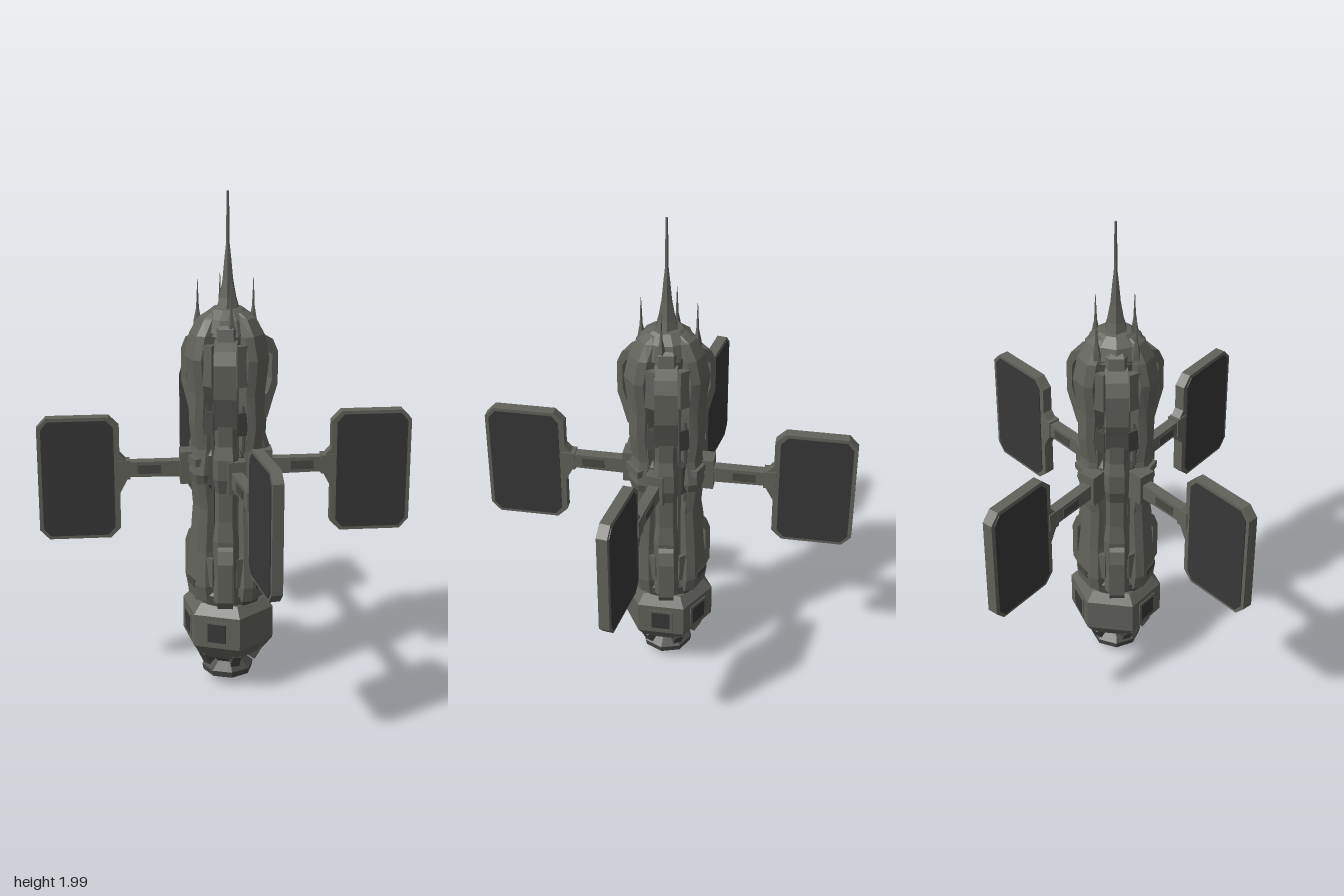
import * as THREE from 'three';

const rad = THREE.MathUtils.degToRad;
const CZ = 0.01; // hull axis offset

export function createModel() {
  const hull = new THREE.MeshStandardMaterial({ color: 0x62625c });
  hull.name = 'hullGrey';
  const dark = new THREE.MeshStandardMaterial({ color: 0x484845 });
  dark.name = 'recessGrey';
  const panelMat = new THREE.MeshStandardMaterial({ color: 0x383838 });
  panelMat.name = 'panelDark';

  const model = new THREE.Group();
  model.name = 'spaceStation';

  // Faceted normals for every part
  function add(parent, geo, mat, name) {
    const g = geo.index ? geo.toNonIndexed() : geo;
    g.computeVertexNormals();
    const m = new THREE.Mesh(g, mat);
    m.name = name;
    parent.add(m);
    return m;
  }
  // Group whose local +x points outward at an azimuth measured from +x towards +z
  function spoke(az, name, z = CZ) {
    const g = new THREE.Group();
    g.name = name;
    g.rotation.y = -rad(az);
    g.position.z = z;
    model.add(g);
    return g;
  }
  function turned(points, sides, mat, name, twist = 0) {
    const g = new THREE.LatheGeometry(points.map(p => new THREE.Vector2(p[0], p[1])), sides);
    const m = add(model, g, mat, name);
    m.rotation.y = rad(twist);
    m.position.z = CZ;
    return m;
  }
  function box(parent, w, h, d, x, y, z, mat, name) {
    const m = add(parent, new THREE.BoxGeometry(w, h, d), mat, name);
    m.position.set(x, y, z);
    return m;
  }
  function slab(points, depth, hole) {
    const s = new THREE.Shape(points.map(p => new THREE.Vector2(p[0], p[1])));
    if (hole) s.holes.push(new THREE.Path(hole.map(p => new THREE.Vector2(p[0], p[1]))));
    const g = new THREE.ExtrudeGeometry(s, { depth, bevelEnabled: false });
    g.translate(0, 0, -depth / 2);
    return g;
  }
  // Chamfered rib lofted through rows of [y, outer radius, half width]
  function ribGeometry(rows) {
    const rings = rows.map(([y, r, w]) => [
      [0.05, y, -w], [r - 0.025, y, -w], [r, y, -w * 0.62],
      [r, y, w * 0.62], [r - 0.025, y, w], [0.05, y, w]]);
    const pos = [];
    const tri = (a, b, c) => pos.push(...a, ...b, ...c);
    for (let i = 0; i < rings.length - 1; i++) {
      const lo = rings[i], hi = rings[i + 1];
      for (let j = 0; j < 6; j++) {
        const k = (j + 1) % 6;
        tri(lo[j], hi[j], hi[k]);
        tri(lo[j], hi[k], lo[k]);
      }
    }
    const top = rings[rings.length - 1], bottom = rings[0];
    for (let j = 1; j < 5; j++) {
      tri(bottom[0], bottom[j], bottom[j + 1]);
      tri(top[0], top[j + 1], top[j]);
    }
    const g = new THREE.BufferGeometry();
    g.setAttribute('position', new THREE.Float32BufferAttribute(pos, 3));
    return g;
  }

  // Central core, lower pod, nozzle and spire
  turned([[0, 0.37], [0.14, 0.38], [0.14, 0.42], [0.105, 0.46], [0.1, 0.85], [0.125, 0.88],
    [0.125, 1.0], [0.1, 1.03], [0.1, 1.25], [0.12, 1.35], [0.115, 1.48], [0, 1.5]], 12, dark, 'core');
  turned([[0, 0.12], [0.1, 0.13], [0.14, 0.15], [0.187, 0.21], [0.187, 0.345], [0.15, 0.385],
    [0, 0.395]], 6, hull, 'lowerPod', 20);
  turned([[0, 0.01], [0.1, 0.05], [0.105, 0.075], [0.065, 0.105], [0.085, 0.13], [0, 0.14]], 8, dark, 'nozzle');
  turned([[0, 1.45], [0.12, 1.47], [0.1, 1.53], [0.06, 1.56], [0, 1.57]], 10, hull, 'crown');
  turned([[0, 1.54], [0.05, 1.55], [0.035, 1.6], [0.022, 1.67], [0.014, 1.75], [0.008, 1.8],
    [0.005, 2], [0, 2]], 6, hull, 'spire');

  // Framed windows on the pod faces
  for (const az of [40, 160, 220, 340]) {
    const g = spoke(az, 'podWindow');
    const r = 0.187 * Math.cos(Math.PI / 6);
    box(g, 0.008, 0.1, 0.1, r, 0.275, 0, hull, 'windowFrame');
    box(g, 0.006, 0.078, 0.075, r + 0.003, 0.275, 0, panelMat, 'windowPane');
  }

  // Small thrusters under the pod
  for (let i = 0; i < 6; i++) {
    const g = spoke(10 + i * 60, 'thruster');
    const m = box(g, 0.04, 0.06, 0.035, 0.115, 0.145, 0, dark, 'thrusterBlock');
    m.rotation.z = -0.5;
  }

  // Broad armour ribs
  const broad = [[0.4, 0.15, 0.075], [0.46, 0.158, 0.078], [0.6, 0.148, 0.062], [0.78, 0.135, 0.055],
    [0.88, 0.145, 0.05], [0.92, 0.155, 0.06], [1.02, 0.14, 0.05], [1.12, 0.152, 0.045],
    [1.24, 0.15, 0.055], [1.38, 0.165, 0.062], [1.47, 0.145, 0.058], [1.53, 0.11, 0.045], [1.55, 0.075, 0.03]];
  for (const az of [90, 210, 330]) {
    const g = spoke(az, 'broadRib');
    add(g, ribGeometry(broad), hull, 'ribPlate');
    box(g, 0.03, 0.03, 0.07, 0.146, 0.465, 0, dark, 'ribVent');
    box(g, 0.03, 0.03, 0.09, 0.143, 0.97, 0, hull, 'ribClamp');
  }

  // Narrow ribs carrying the open handles
  const narrow = [[0.4, 0.15, 0.05], [0.5, 0.14, 0.05], [0.66, 0.155, 0.05], [0.74, 0.145, 0.042],
    [0.86, 0.145, 0.042], [0.92, 0.165, 0.048], [1.0, 0.165, 0.048], [1.05, 0.15, 0.042],
    [1.16, 0.155, 0.045], [1.24, 0.125, 0.045], [1.42, 0.13, 0.05], [1.5, 0.115, 0.045], [1.53, 0.08, 0.03]];
  const upperHandle = [[0.11, 1.1], [0.15, 1.12], [0.175, 1.2], [0.192, 1.25], [0.192, 1.38],
    [0.17, 1.43], [0.11, 1.46]];
  const upperHole = [[0.12, 1.2], [0.152, 1.22], [0.168, 1.27], [0.168, 1.37], [0.152, 1.4], [0.12, 1.4]];
  const lowerHandle = [[0.11, 0.4], [0.165, 0.385], [0.188, 0.42], [0.188, 0.58], [0.17, 0.63], [0.11, 0.67]];
  const lowerHole = [[0.12, 0.45], [0.15, 0.43], [0.166, 0.45], [0.166, 0.57], [0.15, 0.6], [0.12, 0.6]];
  for (const az of [32, 148, 270]) {
    const g = spoke(az, 'handleRib');
    add(g, ribGeometry(narrow), hull, 'ribPlate');
    add(g, slab(upperHandle, 0.085, upperHole), hull, 'upperHandle');
    add(g, slab(lowerHandle, 0.06, lowerHole), hull, 'lowerHandle');
  }

  // Pipes and boxes in the gaps between ribs
  for (let i = 0; i < 6; i++) {
    const g = spoke(i * 60, 'gapPipes');
    for (const s of [-1, 1]) {
      const pipe = add(g, new THREE.CylinderGeometry(0.012, 0.012, 0.8, 6), s > 0 ? hull : dark, 'pipe');
      pipe.position.set(0.115, 0.84 + s * 0.04, s * 0.018);
    }
    box(g, 0.04, 0.12, 0.05, 0.118, 0.52, 0, hull, 'lowerBox');
    box(g, 0.03, 0.09, 0.045, 0.115, 1.13, 0, dark, 'midBox');
    box(g, 0.04, 0.16, 0.05, 0.122, 1.36, 0, hull, 'upperBox');
  }

  // Side antennas around the crown
  for (const sx of [-1, 1]) for (const sz of [-1, 1]) {
    const g = new THREE.LatheGeometry([[0, 1.44], [0.02, 1.45], [0.016, 1.51], [0.006, 1.56], [0.001, 1.67]]
      .map(p => new THREE.Vector2(p[0], p[1])), 5);
    add(model, g, hull, 'antenna').position.set(sx * 0.073, 0, sz * 0.078);
  }

  // Four wings: arm, flared root and chamfered panel in one outline
  const wing = [[0.1, 0.89], [0.38, 0.895], [0.415, 0.83], [0.415, 0.685], [0.455, 0.645], [0.695, 0.645],
    [0.732, 0.685], [0.732, 1.1], [0.695, 1.14], [0.455, 1.14], [0.415, 1.1], [0.415, 0.99],
    [0.385, 0.955], [0.1, 0.955]];
  const face = [[0.437, 0.69], [0.464, 0.658], [0.69, 0.658], [0.717, 0.69], [0.717, 1.095], [0.69, 1.127],
    [0.464, 1.127], [0.437, 1.095]];
  for (const az of [49.6, 130.4, 229.6, 310.4]) {
    const g = spoke(az, 'wing', 0);
    add(g, slab(wing, 0.042), hull, 'wingFrame');
    for (const s of [-1, 1]) add(g, slab(face, 0.006), panelMat, 'solarPanel').position.z = s * 0.021;
    box(g, 0.07, 0.13, 0.07, 0.145, 0.93, 0, hull, 'wingRoot');
    box(g, 0.09, 0.035, 0.05, 0.3, 0.925, 0, dark, 'armInset');
    box(g, 0.05, 0.075, 0.052, 0.4, 0.925, 0, hull, 'armJoint');
  }
  return model;
}
